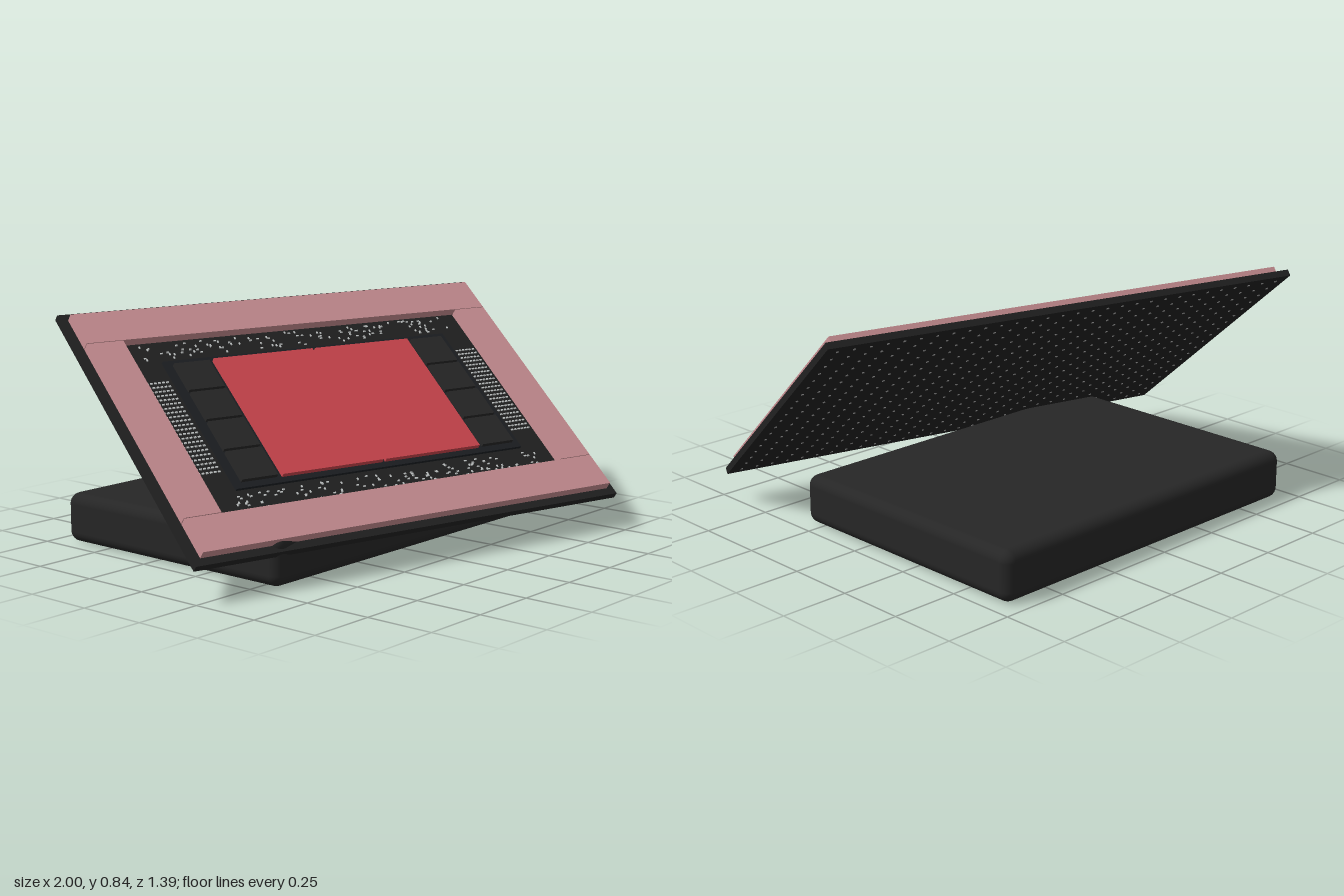
import * as THREE from 'three';
import { mergeGeometries } from 'three/addons/utils/BufferGeometryUtils.js';
import { RoundedBoxGeometry } from 'three/addons/geometries/RoundedBoxGeometry.js';

function material(name, color) {
  const m = new THREE.MeshStandardMaterial({ color });
  m.name = name;
  return m;
}

// Box centred at (x, z) whose height runs from y0 to y1
function slab(w, d, y0, y1, x = 0, z = 0) {
  return new THREE.BoxGeometry(w, y1 - y0, d).translate(x, (y0 + y1) / 2, z);
}

export function createModel() {
  const mats = {
    stand: material('stand black', 0x262626),
    board: material('board black', 0x212121),
    carrier: material('carrier slate', 0x1c1f23),
    memory: material('memory charcoal', 0x272727),
    frame: material('frame pink', 0xca9094),
    die: material('die red', 0xce464e),
    contact: material('contact silver', 0xc4c8c8),
    ball: material('ball grey', 0x777777),
  };
  const model = new THREE.Group();
  model.name = 'chipOnStand';
  const add = (parent, name, geometry, mat) => {
    const mesh = new THREE.Mesh(geometry, mat);
    mesh.name = name;
    parent.add(mesh);
    return mesh;
  };

  // Rounded stand lying on the ground
  const stand = add(model, 'stand', new RoundedBoxGeometry(1.4, 0.18, 1.025, 4, 0.04), mats.stand);
  stand.position.set(0, 0.09, -0.187);

  // Tilted chip package, built flat around its own centre
  const chip = new THREE.Group();
  chip.name = 'chipPackage';
  chip.position.set(0, 0.471, 0.025);
  chip.rotation.set(THREE.MathUtils.degToRad(38), THREE.MathUtils.degToRad(-14), 0, 'YXZ');
  model.add(chip);

  const top = 0.012;
  add(chip, 'substrate', slab(1.83, 1.15, -top, top), mats.board);

  // Stiffener frame: two full-length bars and two short bars with hairline seams
  const W = 1.77, D = 1.09, bar = 0.143, frameTop = 0.042;
  for (const s of [-1, 1]) {
    add(chip, s < 0 ? 'backFrameBar' : 'frontFrameBar',
      slab(W, bar, top, frameTop, 0, s * (D - bar) / 2), mats.frame);
    add(chip, s < 0 ? 'rightFrameBar' : 'leftFrameBar',
      slab(bar, D - 2 * bar - 0.005, top, frameTop, s * (W - bar) / 2, 0), mats.frame);
  }

  // Carrier with two large dies and a column of four memory blocks on each side
  const carrierTop = 0.022, dieTop = 0.038;
  add(chip, 'carrier', slab(1.25, 0.6, top, carrierTop), mats.carrier);
  for (const s of [-1, 1]) {
    add(chip, 'computeDie', slab(0.426, 0.556, carrierTop, dieTop, s * 0.219, 0), mats.die);
    for (let i = 0; i < 4; i++) {
      add(chip, 'memoryBlock',
        slab(0.145, 0.13, carrierTop, dieTop - 0.002, s * 0.523, (i - 1.5) * 0.14), mats.memory);
    }
  }

  // Regular contact arrays beside the carrier
  const contacts = [];
  for (const s of [-1, 1]) {
    for (let c = 0; c < 6; c++) {
      for (let r = 0; r < 22; r++) {
        contacts.push(slab(0.009, 0.006, top, top + 0.004, s * (0.645 + c * 0.016), (r - 10.5) * 0.02));
      }
    }
  }
  add(chip, 'contactArrays', mergeGeometries(contacts), mats.contact);

  // Scattered capacitors in front of and behind the carrier
  let seed = 7;
  const random = () => (seed = (seed * 16807) % 2147483647) / 2147483647;
  const capacitors = [];
  for (const s of [-1, 1]) {
    for (let i = 0; i < 110; i++) {
      const turned = random() < 0.5;
      capacitors.push(slab(turned ? 0.005 : 0.009, turned ? 0.009 : 0.005, top, top + 0.004,
        (random() - 0.5) * 1.36, s * (0.32 + random() * 0.07)));
    }
  }
  add(chip, 'capacitors', mergeGeometries(capacitors), mats.contact);

  // Grid of tiny solder balls on the underside
  const balls = [];
  for (let i = 0; i < 30; i++) {
    for (let j = 0; j < 19; j++) {
      balls.push(slab(0.007, 0.007, -top - 0.003, -top, (i - 14.5) * 0.06, (j - 9) * 0.06));
    }
  }
  add(chip, 'solderBalls', mergeGeometries(balls), mats.ball);

  return model;
}
